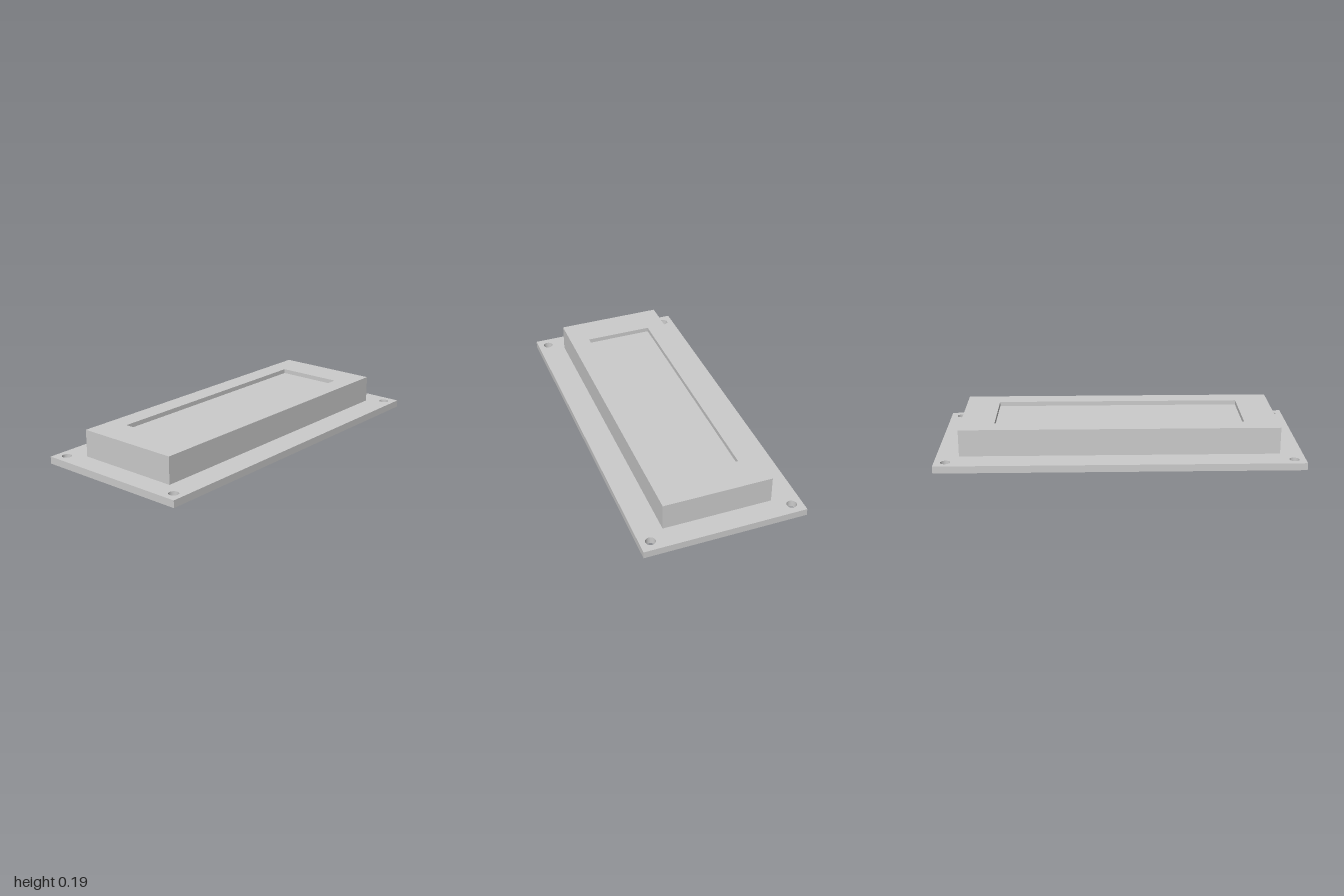
import * as THREE from 'three';

const material = new THREE.MeshStandardMaterial({ color: 0xcccccc });

// Traces a centred rectangle on a Shape or Path
function rectangle(path, width, depth) {
  const x = width / 2, y = depth / 2;
  path.moveTo(-x, -y).lineTo(x, -y).lineTo(x, y).lineTo(-x, y).closePath();
  return path;
}

// Extrudes a plan outline upwards from height y
function slab(name, shape, y, height) {
  const geometry = new THREE.ExtrudeGeometry(shape, { depth: height, bevelEnabled: false, curveSegments: 24 });
  geometry.rotateX(-Math.PI / 2);
  const mesh = new THREE.Mesh(geometry, material);
  mesh.name = name;
  mesh.position.y = y;
  return mesh;
}

export function createModel() {
  const model = new THREE.Group();
  model.name = 'mountedDisplayPanel';

  const plateHeight = 0.04, housingHeight = 0.15, recessDepth = 0.025;
  const recessWidth = 1.374, recessLength = 0.38;

  // Base plate with a screw hole in each corner
  const plate = rectangle(new THREE.Shape(), 2, 0.894);
  for (const sx of [-1, 1]) {
    for (const sz of [-1, 1]) {
      plate.holes.push(new THREE.Path().absarc(sx * 0.938, sz * 0.388, 0.027, 0, Math.PI * 2, true));
    }
  }
  model.add(slab('basePlate', plate, 0, plateHeight));

  // Raised housing with a rectangular window
  const housing = rectangle(new THREE.Shape(), 1.75, 0.6);
  housing.holes.push(rectangle(new THREE.Path(), recessWidth, recessLength));
  model.add(slab('housing', housing, plateHeight, housingHeight));

  // Shallow floor of the window
  const floor = rectangle(new THREE.Shape(), recessWidth, recessLength);
  model.add(slab('recessFloor', floor, plateHeight, housingHeight - recessDepth));

  return model;
}
